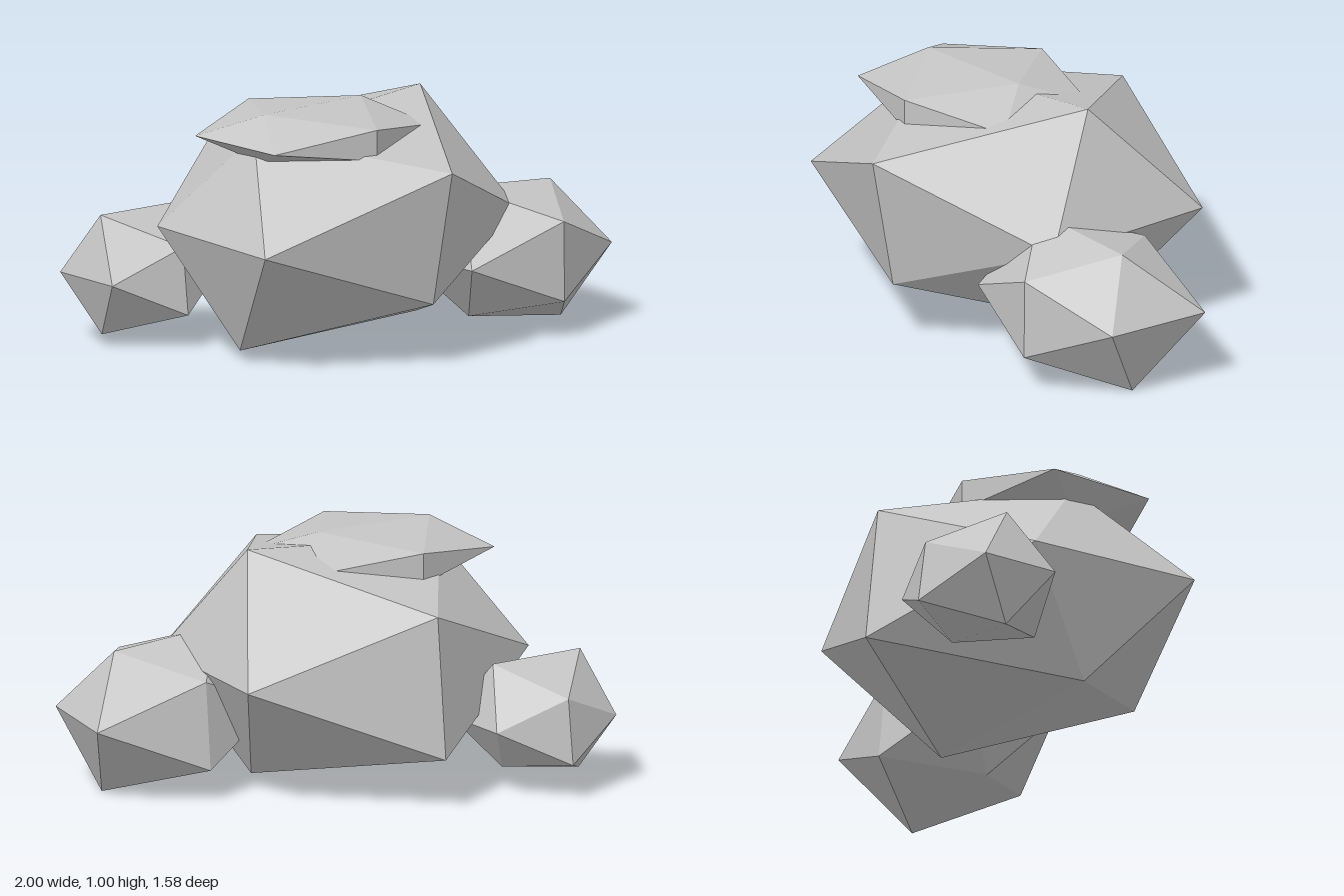
import * as THREE from 'three';

const T = (1 + Math.sqrt(5)) / 2;

// Corner directions of an icosahedron
const CORNERS = [
  [-1, T, 0], [1, T, 0], [-1, -T, 0], [1, -T, 0],   // top left, top right, bottom left, bottom right
  [0, -1, T], [0, 1, T], [0, -1, -T], [0, 1, -T],   // front low, front high, back low, back high
  [T, 0, -1], [T, 0, 1], [-T, 0, -1], [-T, 0, 1],   // right back, right front, left back, left front
];
const FACES = [
  0, 11, 5, 0, 5, 1, 0, 1, 7, 0, 7, 10, 0, 10, 11,
  1, 5, 9, 5, 11, 4, 11, 10, 2, 10, 7, 6, 7, 1, 8,
  3, 9, 4, 3, 4, 2, 3, 2, 6, 3, 6, 8, 3, 8, 9,
  4, 9, 5, 2, 4, 11, 6, 2, 10, 8, 6, 7, 9, 8, 1,
];

// Faceted boulder: stretched icosahedron with each corner pushed in or out
function boulder(name, material, center, scale, push) {
  const points = CORNERS.map((c, i) =>
    new THREE.Vector3(...c).normalize()
      .multiplyScalar(push ? push[i] : 1)
      .multiply(new THREE.Vector3(...scale)));
  const indexed = new THREE.BufferGeometry().setFromPoints(points);
  indexed.setIndex(FACES);
  const geometry = indexed.toNonIndexed();
  geometry.computeVertexNormals(); // flat facets
  const mesh = new THREE.Mesh(geometry, material);
  mesh.name = name;
  mesh.position.set(...center);
  return mesh;
}

export function createModel() {
  const group = new THREE.Group();
  group.name = 'rockCluster';
  const stone = new THREE.MeshStandardMaterial({ color: 0xc5c5c5 });
  stone.name = 'greyStone';

  group.add(
    boulder('mainBoulder', stone, [-0.18, 0.515, 0.065], [0.85, 0.51, 0.76],
      [0.92, 1.09, 1.09, 1.05, 0.95, 1.125, 1.125, 1.03, 1.01, 0.93, 0.86, 0.975]),
    boulder('rightBoulder', stone, [0.55, 0.32, 0.325], [0.47, 0.33, 0.41],
      [1.04, 0.9, 0.88, 1.135, 0.95, 0.94, 1.08, 0.98, 1.125, 0.935, 1, 0.975]),
    boulder('backBoulder', stone, [-0.7, 0.29, -0.5], [0.35, 0.26, 0.325],
      [1.13, 1.09, 1.09, 0.86, 1.06, 0.95, 1.04, 0.91, 0.94, 1, 0.94, 1.01]),
    // Flat slab lying on top of the main boulder
    boulder('topSlab', stone, [-0.31, 0.9, 0.105], [0.495, 0.12, 0.45]),
  );
  return group;
}
